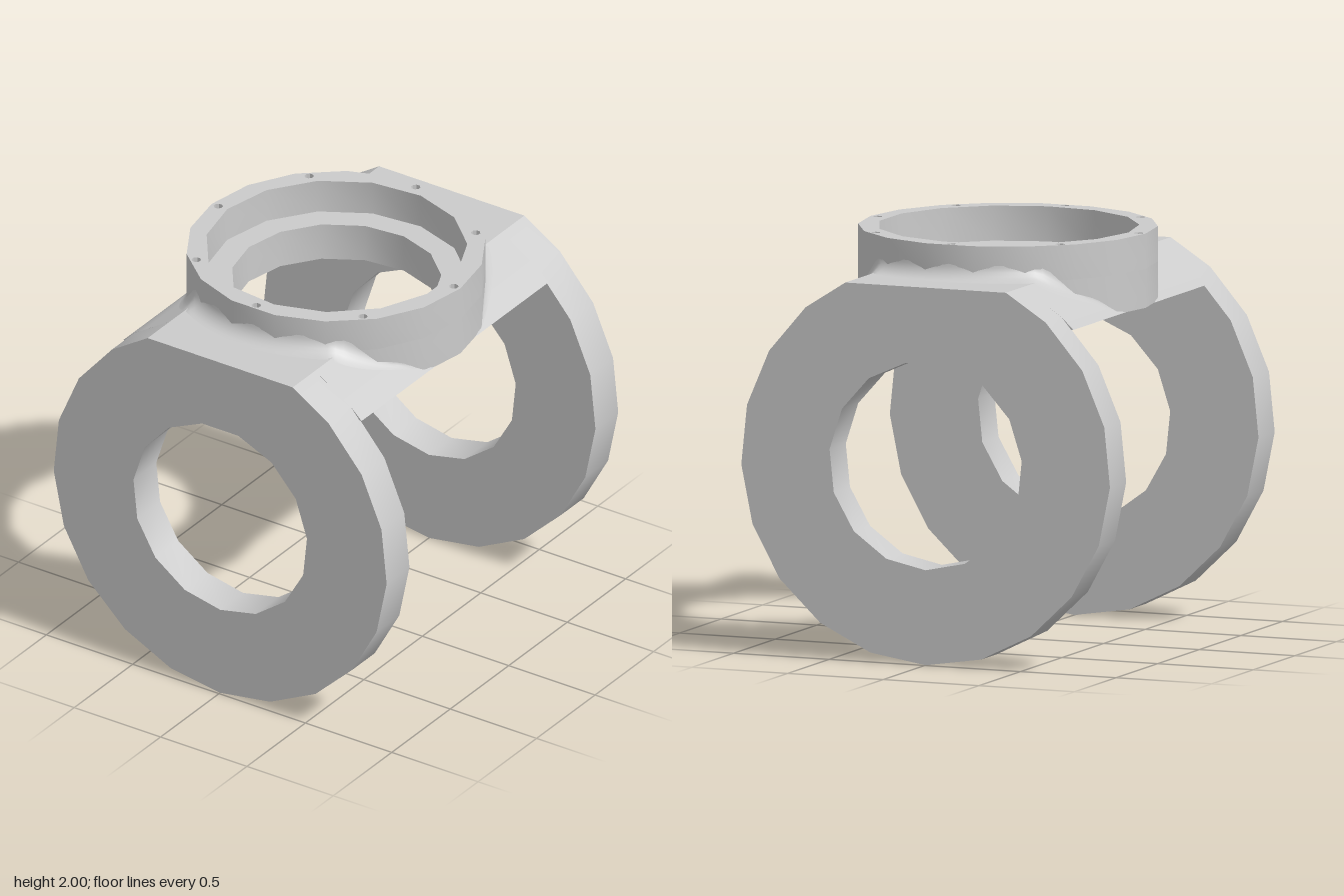
import * as THREE from 'three';
import { toCreasedNormals } from 'three/addons/utils/BufferGeometryUtils.js';

const RING_R = 0.965, TOP = 1.83, UNDER = 1.64, COLLAR_R = 0.72;
const material = new THREE.MeshStandardMaterial({ color: 0xcccccc, side: THREE.DoubleSide });

function polygon(r, n, start = 0, cx = 0, cy = 0) {
  return Array.from({ length: n }, (_, i) => {
    const a = start + (i / n) * Math.PI * 2;
    return new THREE.Vector2(cx + r * Math.cos(a), cy + r * Math.sin(a));
  });
}

function plate(outline, holes, depth) {
  const shape = new THREE.Shape(outline);
  holes.forEach((h) => shape.holes.push(new THREE.Path(h)));
  return new THREE.ExtrudeGeometry(shape, { depth, bevelEnabled: false });
}

// Skin a surface over equal-length cross-sections
function loft(sections, closed) {
  const n = sections[0].length, index = [];
  for (let s = 0; s < sections.length - 1; s++) {
    for (let j = 0; j < (closed ? n : n - 1); j++) {
      const k = (j + 1) % n;
      const a = s * n + j, b = s * n + k, c = a + n, d = b + n;
      index.push(a, c, b, b, c, d);
    }
  }
  const geo = new THREE.BufferGeometry();
  geo.setAttribute('position', new THREE.Float32BufferAttribute(sections.flat(2), 3));
  geo.setIndex(index);
  return geo;
}

// Height of the yoke's faceted shoulder at a given x
const shoulder = [[0, TOP], [0.42, TOP], [0.63, 1.697], [0.69, UNDER]];
function shoulderY(x) {
  const ax = Math.min(Math.abs(x), 0.69);
  for (let i = 1; i < shoulder.length; i++) {
    const [x0, y0] = shoulder[i - 1], [x1, y1] = shoulder[i];
    if (ax <= x1) return y0 + ((y1 - y0) * (ax - x0)) / (x1 - x0);
  }
  return UNDER;
}

export function createModel() {
  const group = new THREE.Group();
  const add = (name, geo, crease = 0.5) => {
    const mesh = new THREE.Mesh(toCreasedNormals(geo, crease), material);
    mesh.name = name;
    group.add(mesh);
    return mesh;
  };

  // Cheek rings: faceted discs with a flat top and a round opening
  const half = [];
  for (let i = 1; i <= 8; i++) {
    const a = THREE.MathUtils.degToRad(17.43 * i);
    half.push(new THREE.Vector2(RING_R * Math.sin(a), RING_R - RING_R * Math.cos(a)));
  }
  half.push(new THREE.Vector2(0.42, TOP));
  const mirrored = half.map((p) => new THREE.Vector2(-p.x, p.y)).reverse();
  const outline = [new THREE.Vector2(0, 0), ...half, ...mirrored];
  const bore = polygon(0.505, 15, -Math.PI / 2, 0, RING_R);
  [['frontCheek', 0.795], ['backCheek', -0.99]].forEach(([name, z]) => {
    add(name, plate(outline, [bore], 0.195).translate(0, 0, z));
  });

  // Bridge halves: curved cut-out toward the collar, sloping shoulders
  const xs = [0, 0.14, 0.28, 0.42, 0.5, 0.57, 0.63, 0.66, 0.68, 0.69];
  const allX = [...xs.slice(1).reverse().map((x) => -x), ...xs];
  const bridge = allX.map((x) => {
    const zi = Math.sqrt(Math.max(0, 0.69 * 0.69 - x * x)), y = shoulderY(x);
    return [[x, UNDER, zi], [x, UNDER, 0.8], [x, y, 0.8], [x, y, zi]];
  });

  // Concave fillet where the collar meets the bridge, fading down the shoulders
  const fillet = [];
  for (let i = -24; i <= 24; i++) {
    const t = (i / 24) * THREE.MathUtils.degToRad(74);
    const x0 = Math.abs(COLLAR_R * Math.sin(t));
    const size = 0.085 * (1 - 0.85 * THREE.MathUtils.smoothstep(x0, 0.38, 0.69));
    const section = [];
    for (let j = 0; j <= 6; j++) {
      const a = (j / 6) * Math.PI / 2;
      const r = 0.708 + size * (1 - Math.sin(a));
      const x = r * Math.sin(t);
      section.push([x, shoulderY(x) + size * (1 - Math.cos(a)) + 0.001, r * Math.cos(t)]);
    }
    fillet.push(section);
  }
  [['front', 0], ['back', Math.PI]].forEach(([side, turn]) => {
    add(side + 'Bridge', loft(bridge, true).rotateY(turn));
    add(side + 'Fillet', loft(fillet, false).rotateY(turn), 0.7);
  });

  // Collar: narrow bore below, wide recess with bolt holes above
  const rim = polygon(COLLAR_R, 18);
  const boltHoles = polygon(0.682, 8).map((p) => polygon(0.023, 8, Math.PI / 8, p.x, p.y));
  const lower = plate(rim, [polygon(0.505, 15, Math.PI)], TOP - UNDER);
  const upper = plate(rim, [polygon(0.63, 15, Math.PI), ...boltHoles], 2 - TOP);
  add('collarBase', lower.rotateX(-Math.PI / 2).translate(0, UNDER, 0));
  add('collarRim', upper.rotateX(-Math.PI / 2).translate(0, TOP, 0));

  return group;
}
